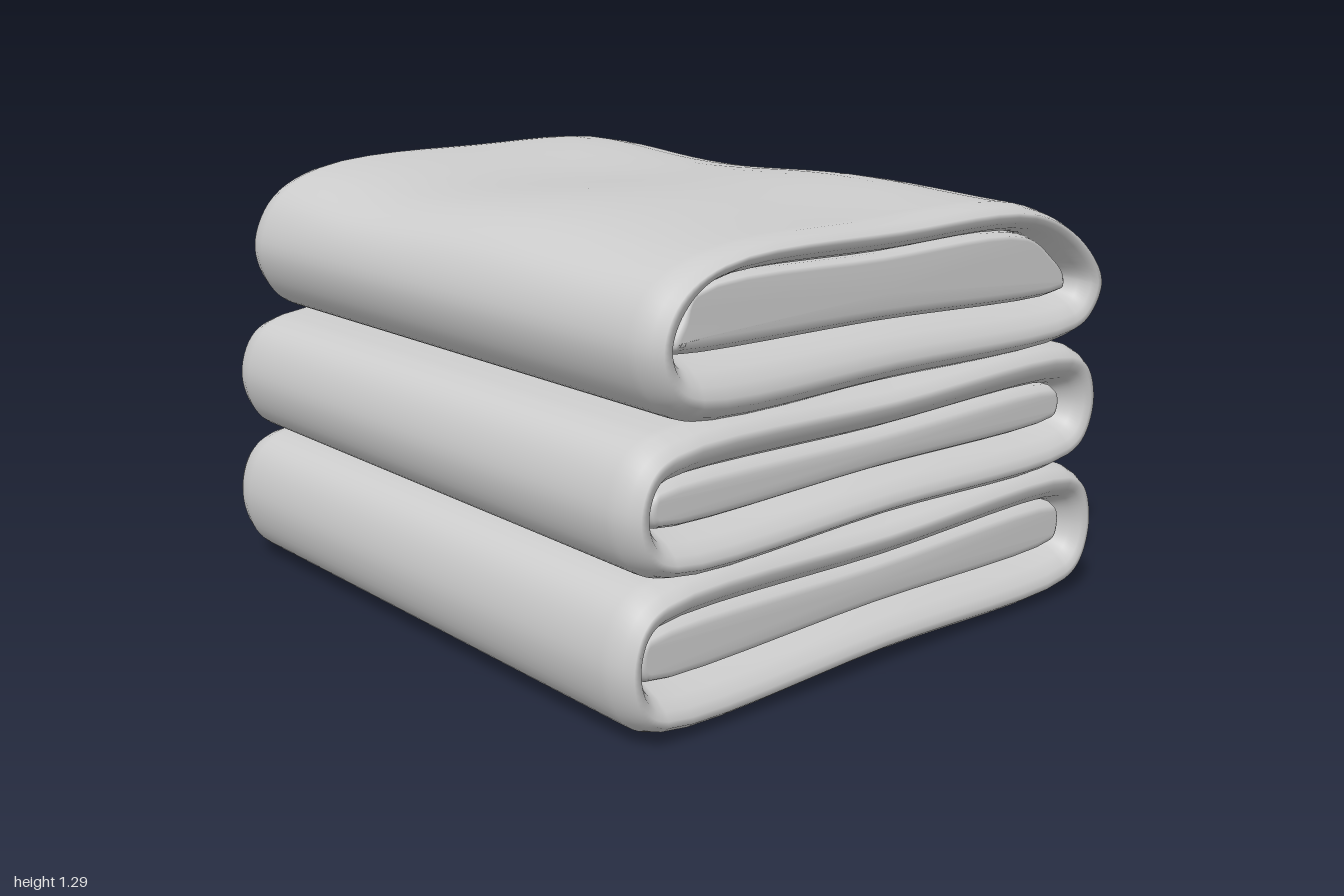
import * as THREE from 'three';

const STEPS = 72; // samples around each cross-section

// Twelve [z, y] points: front middle, over the top, back, and along the bottom.
function stadium(zf, zb, y0, y1, r) {
  const m = (y0 + y1) / 2, h = (y1 - y0) / 2, d = 0.7 * h, e = 0.3 * r;
  return [
    [zf, m], [zf - e, m + d], [zf - r, y1], [0, y1], [zb + r, y1], [zb + e, m + d],
    [zb, m], [zb + e, m - d], [zb + r, y0], [0, y0], [zf - r, y0], [zf - e, m - d],
  ];
}

// Smooth closed outline through the points.
function outline(points) {
  const curve = new THREE.CatmullRomCurve3(
    points.map(([z, y]) => new THREE.Vector3(0, y, z)), true, 'centripetal');
  return Array.from({ length: STEPS }, (_, j) => curve.getPoint(j / STEPS));
}

// Skin rings [x, t], where t blends the outer outline (0) into the inner one (1).
function loft(rings, outer, inner, capped, warp) {
  const pos = [], index = [];
  rings.forEach(([x, t]) => {
    for (let j = 0; j < STEPS; j++) {
      const p = outer[j].clone().lerp(inner[j], t);
      pos.push(x, p.y + warp(x, p.y, p.z), p.z);
    }
  });
  for (let i = 0; i < rings.length - 1; i++) {
    for (let j = 0; j < STEPS; j++) {
      const k = (j + 1) % STEPS, a = i * STEPS + j, b = i * STEPS + k;
      index.push(a, a + STEPS, b, a + STEPS, b + STEPS, b);
    }
  }
  if (capped) {
    [0, rings.length - 1].forEach((i) => {
      const centre = new THREE.Vector3();
      for (let j = 0; j < STEPS; j++) {
        centre.add(new THREE.Vector3().fromArray(pos, (i * STEPS + j) * 3));
      }
      centre.divideScalar(STEPS);
      const c = pos.length / 3;
      pos.push(centre.x, centre.y, centre.z);
      for (let j = 0; j < STEPS; j++) {
        const a = i * STEPS + j, b = i * STEPS + (j + 1) % STEPS;
        if (i === 0) index.push(c, a, b);
        else index.push(c, b, a);
      }
    });
  }
  const geo = new THREE.BufferGeometry();
  geo.setAttribute('position', new THREE.Float32BufferAttribute(pos, 3));
  geo.setIndex(index);
  geo.computeVertexNormals();
  return geo;
}

// Mirror one end's rings to the other end.
const mirrored = (half) => [...half.map(([x, t]) => [-x, t]), ...half.slice().reverse()];

export function createModel() {
  const group = new THREE.Group();
  const material = new THREE.MeshStandardMaterial({ color: 0xcccccc, side: THREE.DoubleSide });

  // Folded cloth: recess wall, rounded rim, then the long body.
  const end = [[0.86, 1], [0.91, 0.97], [0.96, 0.8], [0.99, 0.6], [1, 0.42], [1, 0.28], [0.97, 0.12], [0.93, 0.01]];
  const body = Array.from({ length: 21 }, (_, i) => [-0.9 + i * 0.09, 0]);
  const shellRings = [
    ...end.map(([x, t]) => [-x, t]), ...body, ...end.slice().reverse(),
  ];
  // Inner fold that shows inside the recess at both ends.
  const coreRings = mirrored([[0.94, 1.25], [0.935, 1.12], [0.91, 1.02], [0.86, 1]]);

  const flat = () => 0;
  // Soft waves on the uppermost surface.
  const wavy = (x, y, z) => THREE.MathUtils.smoothstep(y, 1.05, 1.25)
    * (0.013 * Math.cos(5.2 * x - 1.6 + 0.8 * z) * (0.6 + 0.4 * Math.cos(2 * z)) - 0.006
      + 0.012 * THREE.MathUtils.smoothstep(-x, 0.4, 0.9));

  const towels = [
    {
      name: 'bottomTowel', warp: flat,
      outer: stadium(0.95, -0.94, 0, 0.4, 0.14),
      inner: stadium(0.855, -0.85, 0.13, 0.27, 0.04),
    },
    {
      name: 'middleTowel', warp: flat,
      outer: stadium(0.93, -0.93, 0.405, 0.78, 0.15),
      inner: stadium(0.825, -0.82, 0.53, 0.645, 0.04),
    },
    {
      name: 'topTowel', warp: wavy,
      outer: [
        [0.86, 1.0], [0.8, 1.14], [0.62, 1.225], [0, 1.25], [-0.55, 1.235], [-0.8, 1.12],
        [-0.94, 0.95], [-0.88, 0.84], [-0.77, 0.79], [0, 0.785], [0.7, 0.795], [0.81, 0.86],
      ],
      inner: [
        [0.75, 1.0], [0.72, 1.06], [0.66, 1.13], [0, 1.145], [-0.6, 1.13], [-0.74, 1.05],
        [-0.81, 0.98], [-0.81, 0.94], [-0.79, 0.925], [0, 0.945], [0.7, 0.96], [0.74, 0.97],
      ],
    },
  ];

  towels.forEach(({ name, outer, inner, warp }) => {
    const towel = new THREE.Group();
    towel.name = name;
    const o = outline(outer), n = outline(inner);
    const shell = new THREE.Mesh(loft(shellRings, o, n, false, warp), material);
    shell.name = 'outerFold';
    const core = new THREE.Mesh(loft(coreRings, o, n, true, warp), material);
    core.name = 'innerFold';
    towel.add(shell, core);
    group.add(towel);
  });
  return group;
}
